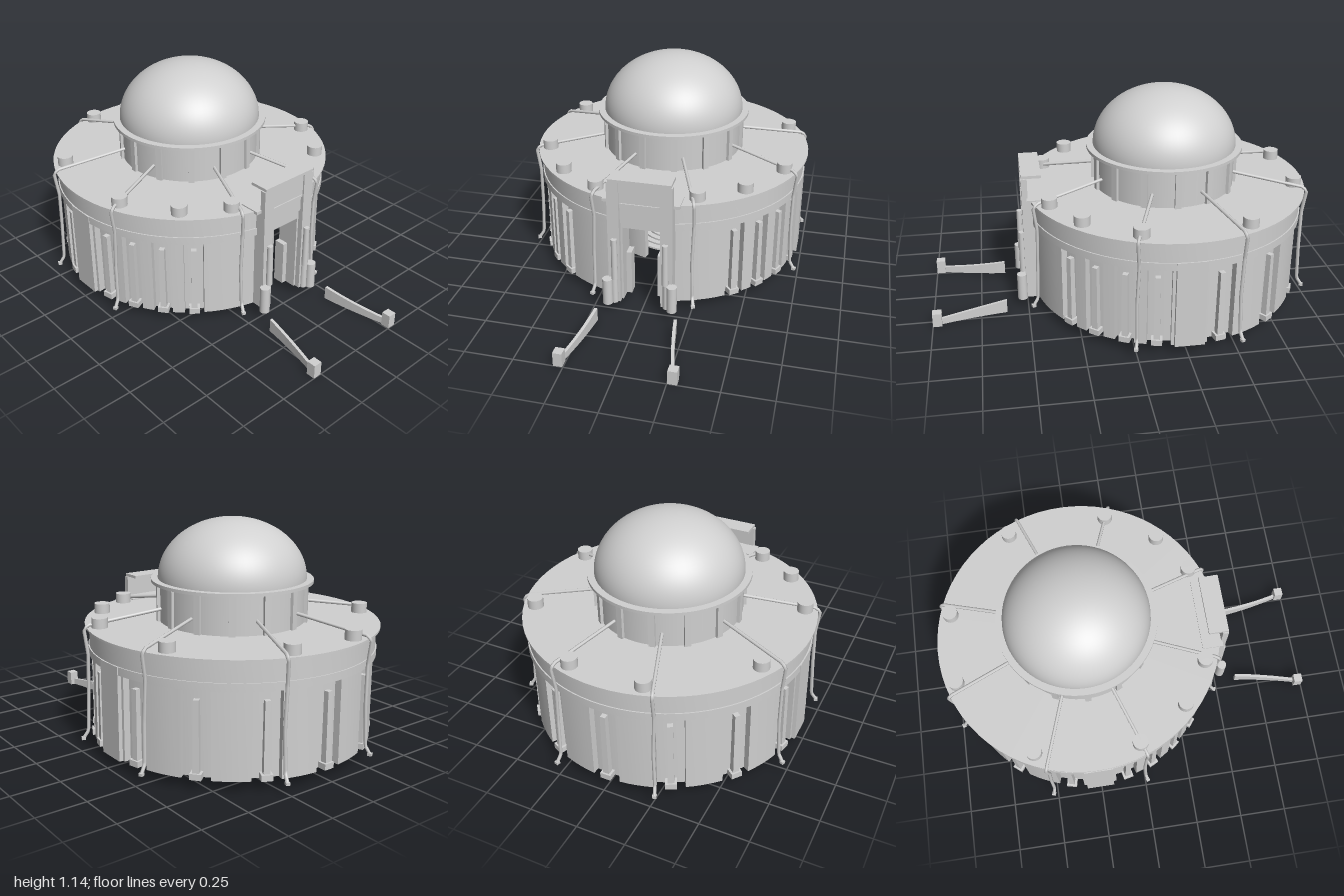
import * as THREE from 'three';
import { toCreasedNormals } from 'three/addons/utils/BufferGeometryUtils.js';

const CZ = -0.255, FLOOR = 0.055, EAVE = 0.48;
const RAD = Math.PI / 180;
const BAY = 360 / 28;

export function createModel() {
  const model = new THREE.Group();
  model.name = 'domedRotunda';
  const stone = new THREE.MeshStandardMaterial({ color: 0xd0d0d0 });
  stone.name = 'pale stone';

  // Everything round lives in a group centred on the rotunda axis
  const rotunda = new THREE.Group();
  rotunda.name = 'rotunda';
  rotunda.position.z = CZ;
  model.add(rotunda);

  const add = (parent, name, geo, x = 0, y = 0, z = 0, turn = 0) => {
    const m = new THREE.Mesh(geo, stone);
    m.name = name;
    m.position.set(x, y, z);
    m.rotation.y = turn;
    parent.add(m);
    return m;
  };
  // Box given by its ranges
  const box = (parent, name, x0, x1, y0, y1, z0, z1) =>
    add(parent, name, new THREE.BoxGeometry(x1 - x0, y1 - y0, z1 - z0),
      (x0 + x1) / 2, (y0 + y1) / 2, (z0 + z1) / 2);
  // Box placed around the axis; angles in degrees from the front towards +x
  const radialBox = (name, deg, r, w, d, y0, y1) =>
    add(rotunda, name, new THREE.BoxGeometry(w, y1 - y0, d),
      r * Math.sin(deg * RAD), (y0 + y1) / 2, r * Math.cos(deg * RAD), deg * RAD);
  // Curved block between two angles and two radii
  const sector = (name, a0, a1, r0, r1, y0, y1) => {
    const n = Math.max(2, Math.ceil((a1 - a0) / 4)), pts = [];
    const put = (r, a) => pts.push(new THREE.Vector2(r * Math.sin(a * RAD), -r * Math.cos(a * RAD)));
    for (let i = 0; i <= n; i++) put(r1, a0 + (a1 - a0) * i / n);
    for (let i = n; i >= 0; i--) put(r0, a0 + (a1 - a0) * i / n);
    const g = new THREE.ExtrudeGeometry(new THREE.Shape(pts), { depth: y1 - y0, bevelEnabled: false });
    g.rotateX(-Math.PI / 2);
    return add(rotunda, name, toCreasedNormals(g, 0.5), 0, y0, 0);
  };
  const disc = (name, r, y0, y1) =>
    add(rotunda, name, new THREE.CylinderGeometry(r, r, y1 - y0, 72), 0, (y0 + y1) / 2, 0);

  // Outer wall, open at the doorway
  sector('wall', 9, 351, 0.655, 0.68, FLOOR, 0.62);

  // Slender columns in niches, with broad piers between them
  const niches = [3, 4, 5, 6, 8, 10, 12, 14, 16, 18, 20, 22, 23, 24, 25].map(k => k * BAY);
  const gapBetween = (a, b) => (b - a > 1.5 * BAY ? 5.6 : 4);
  niches.forEach((a, i) => {
    const shaft = new THREE.CylinderGeometry(0.019, 0.022, 0.345, 4);
    shaft.rotateY(Math.PI / 4);
    add(rotunda, 'nicheColumn', toCreasedNormals(shaft, 0.5),
      0.7 * Math.sin(a * RAD), 0.2575, 0.7 * Math.cos(a * RAD), a * RAD);
    radialBox('nicheColumnBase', a, 0.7, 0.055, 0.05, FLOOR, 0.085);
    if (i + 1 < niches.length) {
      const b = niches[i + 1], gap = gapBetween(a, b);
      sector('pier', a + gap, b - gap, 0.675, 0.715, FLOOR, EAVE);
    }
  });
  sector('pier', 11, niches[0] - 4, 0.675, 0.715, FLOOR, EAVE);
  sector('pier', niches[niches.length - 1] + 4, 349, 0.675, 0.715, FLOOR, EAVE);
  for (const a of [90, 270]) radialBox('sidePanel', a, 0.715, 0.15, 0.03, FLOOR, 0.52);

  // Entablature bands and roof
  sector('lowerBand', 8, 352, 0.655, 0.73, EAVE, 0.52);
  sector('upperBand', 8, 352, 0.655, 0.724, 0.52, 0.62);
  disc('roof', 0.745, 0.62, 0.63);

  // Drum with pilasters, cornice and dome
  disc('drum', 0.37, 0.63, 0.83);
  for (let i = 0; i < 14; i++) radialBox('drumPilaster', (2 * i + 1) * BAY, 0.372, 0.032, 0.026, 0.63, 0.83);
  disc('drumCornice', 0.41, 0.826, 0.842);
  const dome = new THREE.SphereGeometry(0.375, 64, 24, 0, Math.PI * 2, 0, Math.PI / 2);
  dome.scale(1, 0.303 / 0.375, 1);
  add(rotunda, 'dome', dome, 0, 0.842, 0);

  // Roof pipes running out from the drum and down the wall
  for (const a of [20, 70, 110, 160, 200, 250, 290, 340]) {
    const at = (r, y, da = 0) => new THREE.Vector3(
      r * Math.sin((a + da) * RAD), y, r * Math.cos((a + da) * RAD));
    const path = new THREE.CurvePath();
    const pts = [at(0.37, 0.7), at(0.73, 0.645), at(0.758, 0.625), at(0.742, 0.5, 0.3),
      at(0.744, 0.3, -0.3), at(0.752, 0.1), at(0.778, 0.062)];
    for (let i = 1; i < pts.length; i++) path.add(new THREE.LineCurve3(pts[i - 1], pts[i]));
    add(rotunda, 'pipe', new THREE.TubeGeometry(path, 48, 0.009, 6));
    const end = add(rotunda, 'pipeFoot', new THREE.BoxGeometry(0.02, 0.014, 0.02));
    end.position.copy(pts[6]);
    end.rotation.y = a * RAD;
  }

  // Interior: stepped dais with a pedestal, curved screens and columns
  [0.245, 0.21, 0.18, 0.15].forEach((r, i) => disc('daisStep', r, FLOOR + i * 0.01, FLOOR + (i + 1) * 0.01));
  disc('pedestal', 0.022, 0.09, 0.37);
  for (const a of [45, 135, 225, 315]) {
    sector('screen', a - 31, a + 31, 0.31, 0.345, FLOOR, 0.3);
    for (const d of [-15, 15]) radialBox('innerColumn', a + d, 0.47, 0.04, 0.04, FLOOR, 0.62);
  }

  // Portal
  const portal = new THREE.Group();
  portal.name = 'portal';
  model.add(portal);
  box(portal, 'portalRoof', -0.195, 0.195, 0.62, 0.636, 0.376, 0.485);
  box(portal, 'portalLintel', -0.11, 0.11, 0.62, 0.745, 0.48, 0.5);
  box(portal, 'portalLintelTrim', -0.1, 0.1, 0.62, 0.63, 0.5, 0.506);
  box(portal, 'portalPanel', -0.11, 0.11, 0.53, 0.62, 0.46, 0.49);
  box(portal, 'doorHead', -0.1, 0.1, EAVE, 0.53, 0.4, 0.48);
  box(portal, 'portalCap', -0.158, 0.158, 0.742, 0.757, 0.405, 0.508);
  for (const s of [-1, 1]) {
    const side = (name, x0, x1, ...rest) =>
      box(portal, name, Math.min(s * x0, s * x1), Math.max(s * x0, s * x1), ...rest);
    side('portalPillar', 0.105, 0.165, FLOOR, 0.742, 0.478, 0.508);
    side('doorJamb', 0.095, 0.165, FLOOR, 0.62, 0.36, 0.48);
    side('doorLeaf', 0.068, 0.095, FLOOR, 0.3, 0.36, 0.42);
    // Flanking columns on round pedestals
    add(portal, 'portalPedestal', new THREE.CylinderGeometry(0.026, 0.026, 0.145, 20), s * 0.167, 0.1275, 0.528);
    add(portal, 'portalPedestal', new THREE.CylinderGeometry(0.018, 0.018, 0.145, 20), s * 0.135, 0.1275, 0.51);
    add(portal, 'portalColumn', new THREE.CylinderGeometry(0.015, 0.017, 0.23, 16), s * 0.13, 0.315, 0.518);
  }

  // Round vents on the roof
  for (const [x, z] of [[0.19, -0.915], [0.61, -0.56], [0.64, -0.025], [0.475, 0.235], [0.26, 0.375]])
    for (const s of [-1, 1])
      add(model, 'roofVent', new THREE.CylinderGeometry(0.04, 0.04, 0.05, 28), s * x, 0.655, z);

  // Free-standing approach walls: swept outwards, low at the end post
  for (const s of [-1, 1]) {
    const n = 8;
    for (let i = 0; i < n; i++) {
      const g = new THREE.BoxGeometry(0.016, 1, 1), p = g.attributes.position;
      for (let k = 0; k < p.count; k++) {
        const t = (i + p.getZ(k) + 0.5) / n;
        const x = s * (0.205 + 0.04 * t + 0.025 * t * t) + p.getX(k);
        const top = 0.072 - 0.05 * t + 0.012 * t * t;
        p.setXYZ(k, x, p.getY(k) > 0 ? top : 0, 0.615 + 0.34 * t);
      }
      g.computeVertexNormals();
      add(model, 'approachWall', g);
    }
    box(model, 'approachPost', s * 0.276 - 0.023, s * 0.276 + 0.023, 0, 0.075, 0.953, 1);
  }
  return model;
}
